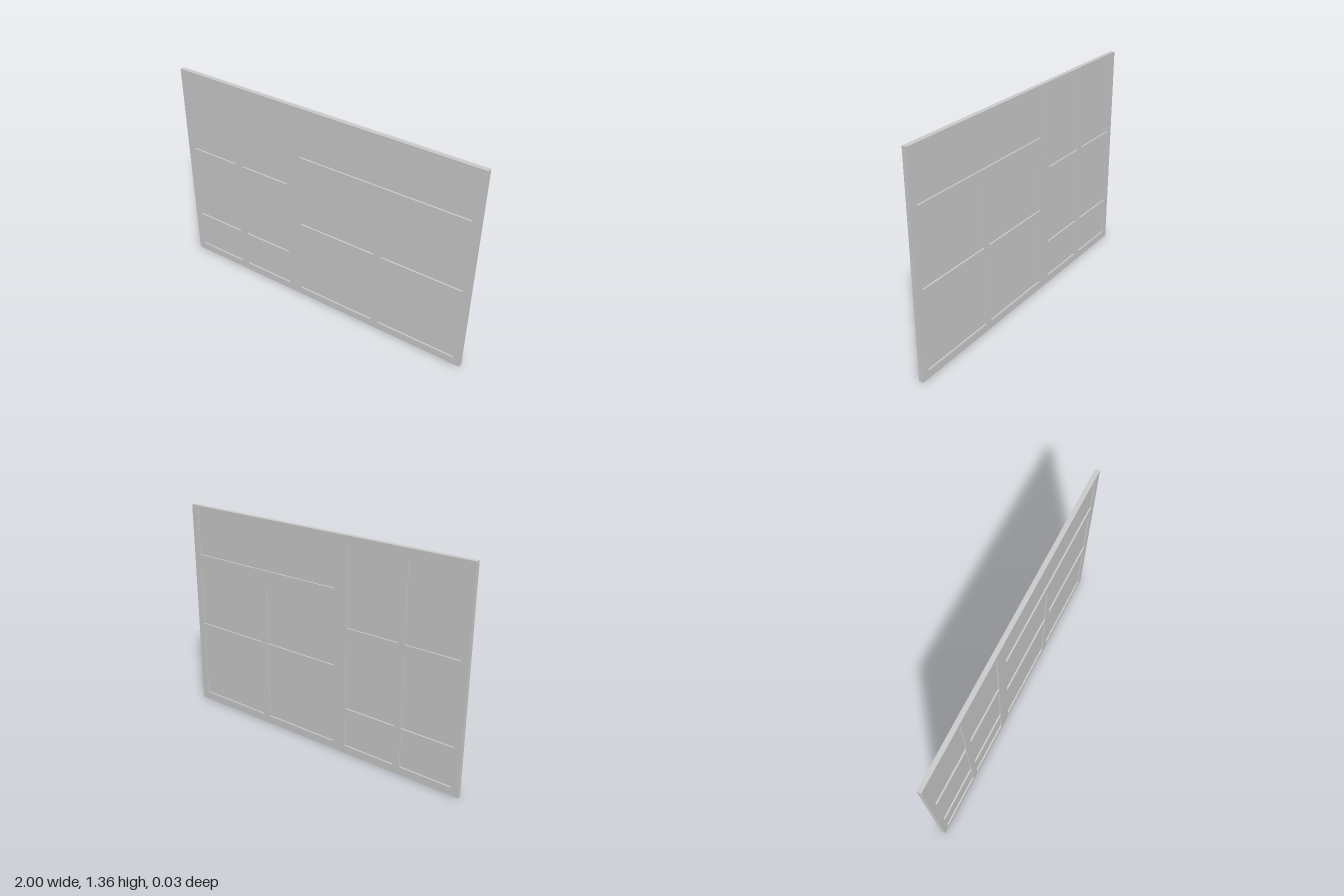
import * as THREE from 'three';

const WIDTH = 2, HEIGHT = 1.355, DEPTH = 0.028, GLASS = 0.008;

// Openings as [x0, x1, y0, y1]
const openings = [];
for (const [x0, x1] of [[-0.955, -0.613], [-0.565, -0.222]])
  for (const [y0, y1] of [[0.051, 0.259], [0.302, 0.767], [0.815, 1.307]])
    openings.push([x0, x1, y0, y1]);
for (const [x0, x1] of [[-0.132, 0.387], [0.435, 0.954]])
  for (const [y0, y1] of [[0.051, 0.511], [0.559, 0.955]])
    openings.push([x0, x1, y0, y1]);
const transom = [-0.132, 0.954, 1.035, 1.324];
openings.push(transom);

function rectangle(PathType, [x0, x1, y0, y1]) {
  return new PathType([
    new THREE.Vector2(x0, y0), new THREE.Vector2(x1, y0),
    new THREE.Vector2(x1, y1), new THREE.Vector2(x0, y1),
  ]);
}

export function createModel() {
  const group = new THREE.Group();
  group.name = 'windowPanel';
  const material = new THREE.MeshStandardMaterial({ color: 0xcccccc });

  function block(name, [x0, x1, y0, y1], depth) {
    const mesh = new THREE.Mesh(new THREE.BoxGeometry(x1 - x0, y1 - y0, depth), material);
    mesh.position.set((x0 + x1) / 2, (y0 + y1) / 2, 0);
    mesh.name = name;
    group.add(mesh);
  }

  // Frame with all the openings cut through
  const outline = rectangle(THREE.Shape, [-WIDTH / 2, WIDTH / 2, 0, HEIGHT]);
  outline.holes = openings.map((o) => rectangle(THREE.Path, o));
  const geometry = new THREE.ExtrudeGeometry(outline, { depth: DEPTH, bevelEnabled: false });
  geometry.translate(0, 0, -DEPTH / 2);
  const frame = new THREE.Mesh(geometry, material);
  frame.name = 'frame';
  group.add(frame);

  // Panes set back from both faces
  openings.forEach((o, i) => block(`pane${i + 1}`, o, GLASS));

  // Thin bar across the wide top pane
  block('topPaneBar', [0.387, 0.435, transom[2], transom[3]], GLASS + 0.001);

  return group;
}
